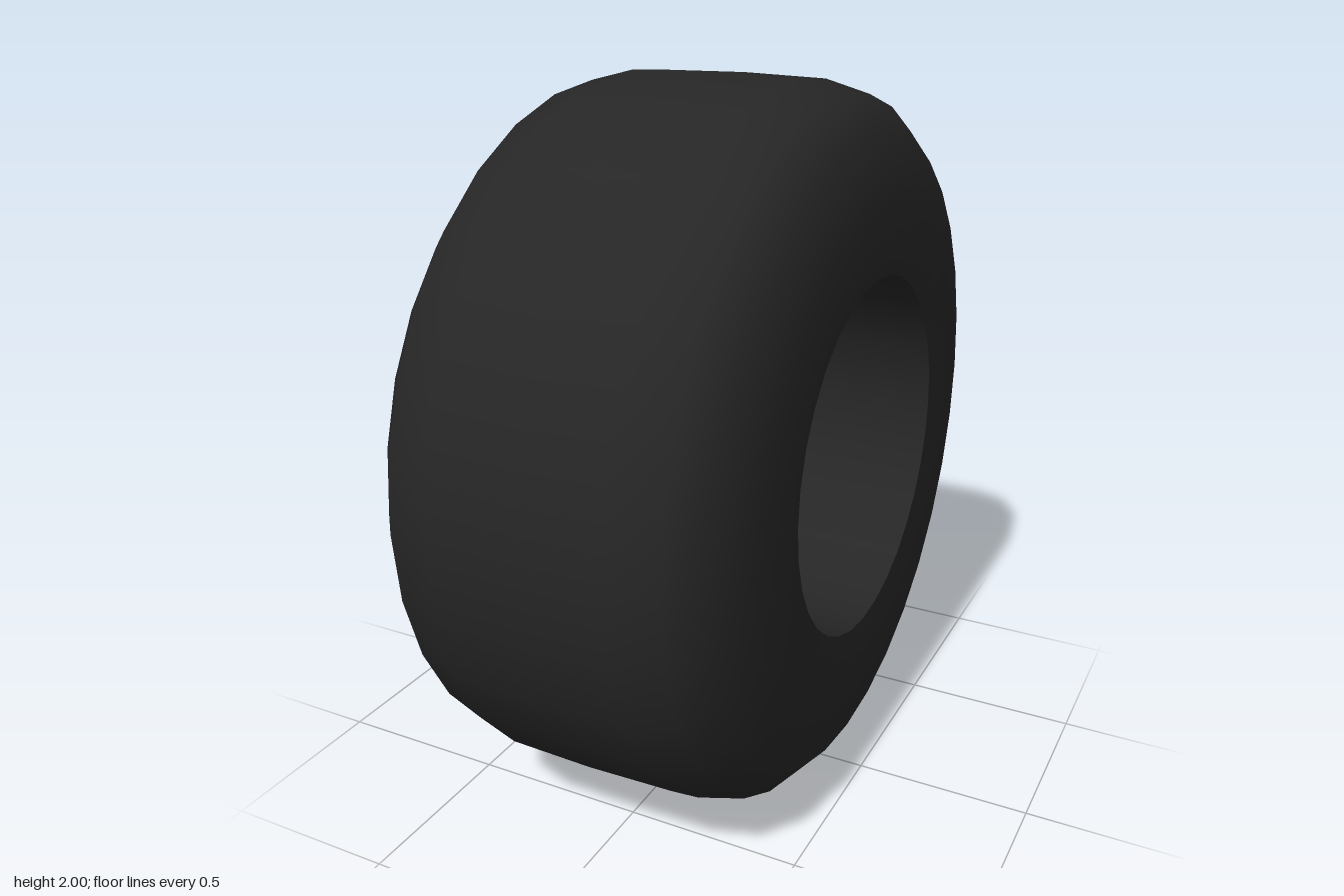
import * as THREE from 'three';

const rubber = new THREE.MeshStandardMaterial({ color: 0x262626 });
rubber.name = 'black rubber';
const rimMetal = new THREE.MeshStandardMaterial({ color: 0x252525 });
rimMetal.name = 'dark rim';

// Revolve [radius, offset] points about the x axis
function revolve(points) {
  const geometry = new THREE.LatheGeometry(points.map(([r, h]) => new THREE.Vector2(r, h)), 32);
  geometry.rotateZ(-Math.PI / 2);
  return geometry;
}

function part(name, geometry, material) {
  const mesh = new THREE.Mesh(geometry, material);
  mesh.name = name;
  return mesh;
}

// Tyre: rounded shoulders, flat sidewalls, slightly flattened fore and aft
function tireGeometry() {
  const half = [[0.5, 0.485], [0.69, 0.493], [0.87, 0.45], [0.962, 0.368], [0.995, 0.24]];
  const profile = [
    ...half.map(([r, h]) => [r, -h]),
    [1, 0],
    ...half.slice().reverse(),
  ];
  const geometry = revolve(profile);
  const p = geometry.attributes.position;
  for (let i = 0; i < p.count; i++) {
    if (Math.hypot(p.getY(i), p.getZ(i)) > 0.6) {
      p.setZ(i, THREE.MathUtils.clamp(p.getZ(i) * 1.016, -1, 1));
    }
  }
  return geometry;
}

// Eight flared spokes around a hub, with a curved cut-out between each pair
function spokeGeometry() {
  const straight = [[0.1, 0.462], [0.07, 0.385], [0.045, 0.3], [0.044, 0.245], [0.07, 0.195], [0.1, 0.183]];
  const diagonal = [[0.084, 0.472], [0.045, 0.425], [0.035, 0.36], [0.045, 0.28], [0.05, 0.215]];
  const place = ([side, along], angle) => new THREE.Vector2(
    side * Math.cos(angle) + along * Math.sin(angle),
    along * Math.cos(angle) - side * Math.sin(angle));
  const outline = [];
  for (let k = 0; k < 8; k++) {
    const [from, to] = k % 2 ? [diagonal, straight] : [straight, diagonal];
    const a = k * Math.PI / 4;
    const edge = [
      ...from.map((q) => place(q, a)),
      ...to.slice().reverse().map(([s, l]) => place([-s, l], a + Math.PI / 4)),
    ];
    outline.push(...new THREE.SplineCurve(edge).getPoints(24));
    // Slightly raised middle of the next spoke tip
    outline.push(place([0, 0.48], a + Math.PI / 4));
  }
  const geometry = new THREE.ExtrudeGeometry(new THREE.Shape(outline), { depth: 0.2, bevelEnabled: false });
  geometry.translate(0, 0, -0.1);
  geometry.rotateY(Math.PI / 2);
  return geometry;
}

export function createModel() {
  const wheel = new THREE.Group();
  wheel.name = 'wheel';
  wheel.add(
    part('tire', tireGeometry(), rubber),
    part('innerBarrel', revolve([[0.5, 0.485], [0.5, -0.485]]), rubber),
    part('spokes', spokeGeometry(), rimMetal),
  );
  wheel.position.y = 1;
  const model = new THREE.Group();
  model.add(wheel);
  return model;
}
